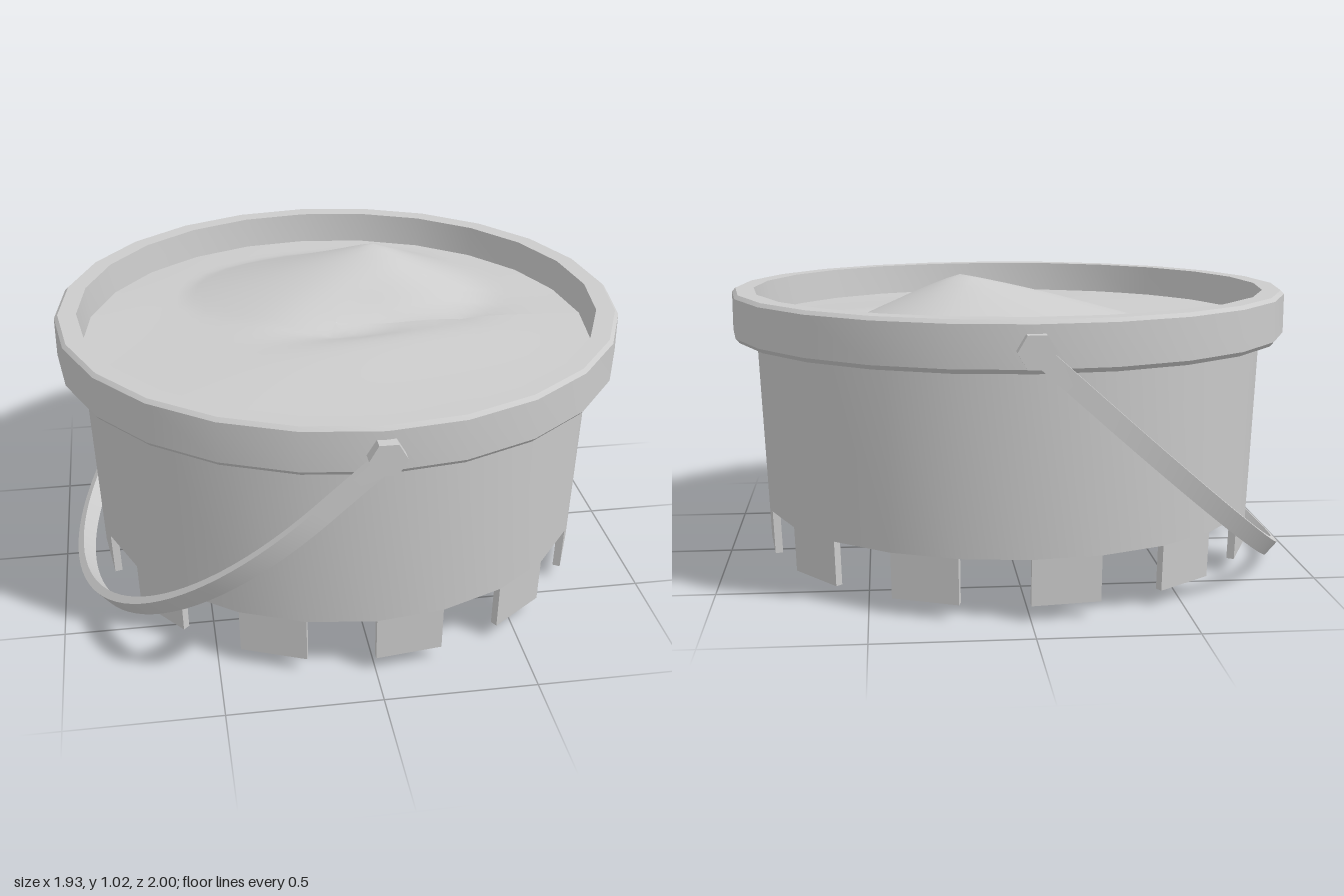
import * as THREE from 'three';
import { toCreasedNormals } from 'three/addons/utils/BufferGeometryUtils.js';

const SIDES = 24;
const STEP = (Math.PI * 2) / SIDES;

export function createModel() {
  const group = new THREE.Group();
  const material = new THREE.MeshStandardMaterial({ color: 0xcccccc });
  const add = (name, geometry, parent = group) => {
    const mesh = new THREE.Mesh(geometry, material);
    mesh.name = name;
    parent.add(mesh);
    return mesh;
  };
  const lathe = (points) => toCreasedNormals(
    new THREE.LatheGeometry(points.map(([r, y]) => new THREE.Vector2(r, y)), SIDES), 0.5);

  // Tapered wall with its raised floor
  add('bucketBody', lathe([[0, 0.21], [0.86, 0.21], [0.885, 0.81]]));

  // Thick bevelled rim, open in the middle
  add('rim', lathe([
    [0.87, 0.8], [0.952, 0.8], [0.965, 0.815], [0.965, 0.948],
    [0.953, 0.96], [0.89, 0.96], [0.875, 0.8],
  ]));

  // Battlement feet: every second side of the wall runs on below the floor
  const feet = new THREE.Group();
  feet.name = 'battlementFeet';
  group.add(feet);
  for (let i = 0; i < SIDES; i += 2) {
    const geo = new THREE.BoxGeometry(1, 1, 1);
    const p = geo.attributes.position;
    for (let k = 0; k < p.count; k++) {
      const angle = (i + 0.5 + p.getX(k)) * STEP;
      const top = p.getY(k) > 0;
      const r = (top ? 0.86 : 0.854) - (p.getZ(k) > 0 ? 0 : 0.026);
      p.setXYZ(k, Math.sin(angle) * r, top ? 0.212 : 0.06, Math.cos(angle) * r);
    }
    geo.computeVertexNormals();
    add('foot', geo, feet);
  }

  // Sand filling: gentle waves, one peak and a hollow in front of it
  const sand = new THREE.RingGeometry(0.001, 0.885, 48, 24);
  sand.rotateX(-Math.PI / 2);
  const s = sand.attributes.position;
  for (let i = 0; i < s.count; i++) {
    const x = s.getX(i), z = s.getZ(i);
    const dx = x - 0.19, dz = z + 0.33;
    const peak = 0.165 * Math.max(0, 1 - Math.hypot(dx / (dx < 0 ? 0.7 : 0.4), dz / 0.42));
    const along = x - 0.2, across = z + 0.02 + 0.25 * along;
    const hollow = 0.07 * Math.exp(-((along / 0.32) ** 2) - (across / 0.11) ** 2);
    const fade = 1 - (x * x + z * z) / 0.8;
    const waves = 0.02 * fade * (1 + Math.sin(3 * x + 1) * Math.cos(4 * z));
    s.setY(i, 0.85 + peak - hollow + waves);
  }
  sand.computeVertexNormals();
  add('sand', sand);

  // Handle: flat strip bent to a U, hanging down on the right side
  const u = new THREE.Shape();
  const straight = 0.26, outer = 0.998, inner = 0.97;
  u.moveTo(outer, 0);
  u.lineTo(outer, straight);
  u.absarc(0, straight, outer, 0, Math.PI, false);
  u.lineTo(-outer, 0);
  u.lineTo(-inner, 0);
  u.lineTo(-inner, straight);
  u.absarc(0, straight, inner, Math.PI, 0, true);
  u.lineTo(inner, 0);
  const strip = new THREE.ExtrudeGeometry(u, { depth: 0.06, bevelEnabled: false, curveSegments: 28 });
  strip.translate(0, 0, -0.03);
  const tilt = 0.73;
  strip.applyMatrix4(new THREE.Matrix4().makeBasis(
    new THREE.Vector3(0, 0, 1),
    new THREE.Vector3(-Math.cos(tilt), -Math.sin(tilt), 0),
    new THREE.Vector3(Math.sin(tilt), -Math.cos(tilt), 0)));
  strip.translate(0, 0.87, 0);
  add('handle', toCreasedNormals(strip, 0.5));

  // Hexagonal pivots on both ends of the handle
  for (const side of [1, -1]) {
    const pivot = new THREE.CylinderGeometry(0.058, 0.058, 0.06, 6);
    pivot.rotateY(Math.PI / 6);
    pivot.rotateX(Math.PI / 2);
    pivot.translate(0, 0.87, side * 0.97);
    add('handlePivot', toCreasedNormals(pivot, 0.5));
  }
  return group;
}
